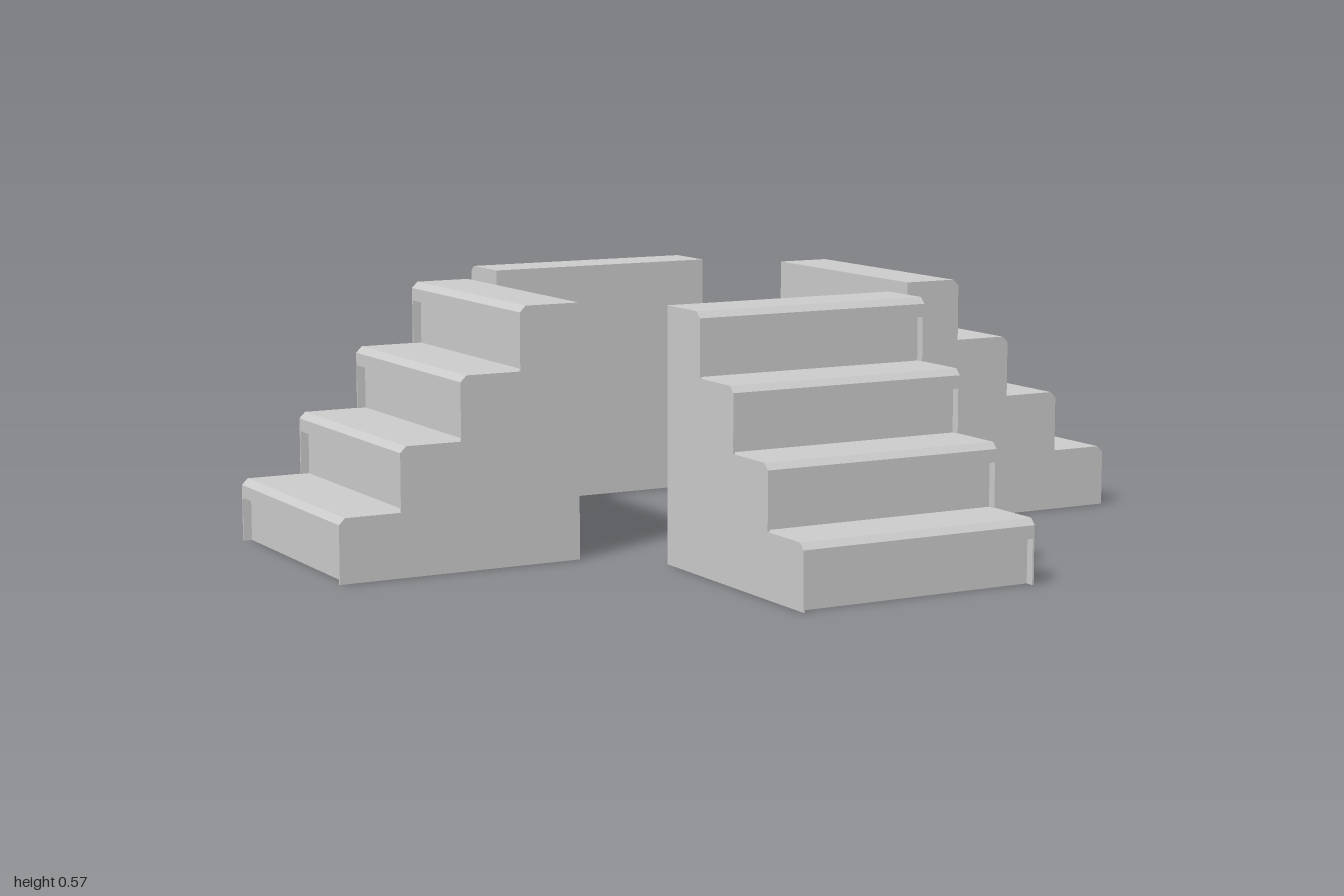
import * as THREE from 'three';

const STEPS = 4;
const S = 1 / 7;          // rise and run of a step
const BEVEL = 0.014;      // chamfer on each nosing
const LIP = 0.043;        // nosing height
const RECESS = 0.02;      // how far risers sit behind the nosing
const WIDTH = 4 * S;
const PANEL = 0.004;      // side panel thickness
const BACK = 3 * S;

// Stair outline: x = distance from the centre, y = height
function stairShape(recess) {
  const shape = new THREE.Shape();
  shape.moveTo(BACK, 0);
  for (let i = 0; i < STEPS; i++) {
    const front = 1 - i * S, top = (i + 1) * S;
    shape.lineTo(front - recess, i * S);
    if (recess > 0) {
      shape.lineTo(front - recess, top - LIP);
      shape.lineTo(front, top - LIP);
    }
    shape.lineTo(front, top - BEVEL);
    shape.lineTo(front - BEVEL, top);
  }
  shape.lineTo(BACK, STEPS * S);
  shape.closePath();
  return shape;
}

// Extrude an outline from z = start over the given depth
function slab(shape, start, depth) {
  const geometry = new THREE.ExtrudeGeometry(shape, { depth, bevelEnabled: false });
  return geometry.translate(0, 0, start);
}

export function createModel() {
  const model = new THREE.Group();
  model.name = 'staircases';
  const material = new THREE.MeshStandardMaterial({ color: 0xcccccc, flatShading: true });

  const half = WIDTH / 2;
  const parts = [
    ['stepsBody', slab(stairShape(RECESS), -half + PANEL, WIDTH - 2 * PANEL)],
    ['sidePanelA', slab(stairShape(0), -half, PANEL)],
    ['sidePanelB', slab(stairShape(0), half - PANEL, PANEL)],
  ];

  // Four identical flights facing outwards
  ['left', 'back', 'right', 'front'].forEach((side, i) => {
    const flight = new THREE.Group();
    flight.name = side + 'Staircase';
    for (const [name, geometry] of parts) {
      const mesh = new THREE.Mesh(geometry, material);
      mesh.name = name;
      flight.add(mesh);
    }
    flight.rotation.y = i * Math.PI / 2;
    model.add(flight);
  });
  return model;
}
